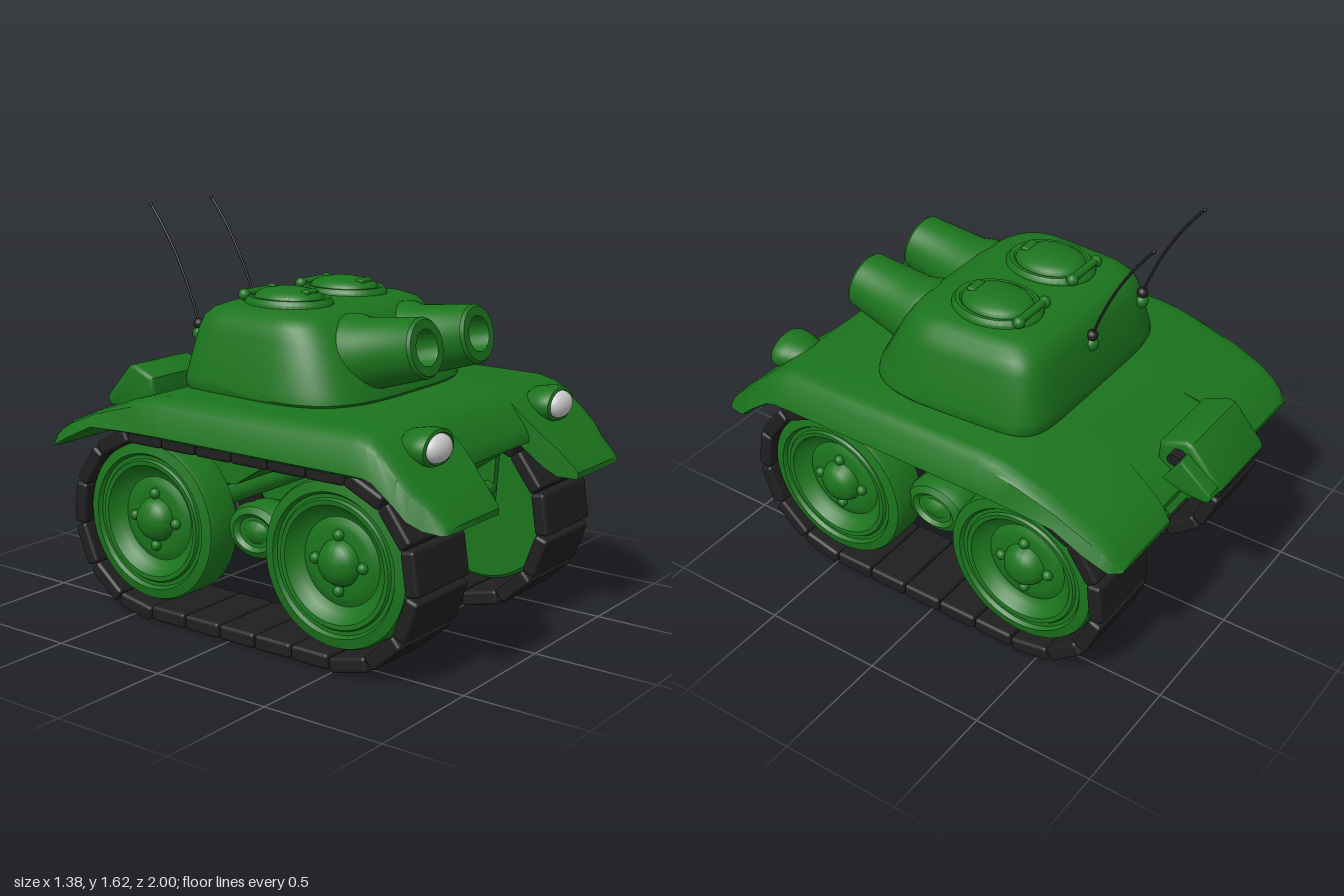
import * as THREE from 'three';
import { toCreasedNormals } from 'three/addons/utils/BufferGeometryUtils.js';
import { RoundedBoxGeometry } from 'three/addons/geometries/RoundedBoxGeometry.js';

const green = new THREE.MeshStandardMaterial({ color: 0x1b741d });
const black = new THREE.MeshStandardMaterial({ color: 0x1f1f1f });
const grey = new THREE.MeshStandardMaterial({ color: 0xcccccc });

function add(parent, name, geo, mat, x = 0, y = 0, z = 0) {
  const m = new THREE.Mesh(geo, mat);
  m.name = name;
  m.position.set(x, y, z);
  parent.add(m);
  return m;
}

// Surface of revolution from [radius, height] pairs, listed bottom to top on the outside
function lathe(pts, seg = 40) {
  return toCreasedNormals(new THREE.LatheGeometry(pts.map(p => new THREE.Vector2(p[0], p[1])), seg), 0.6);
}

// Side profile of [z, y] points extruded from x0 to x1, edges rounded by an inset bevel
function sideExtrude(pts, x0, x1, bevel = 0) {
  const shape = new THREE.Shape(pts.map(p => new THREE.Vector2(-p[0], p[1])));
  const g = new THREE.ExtrudeGeometry(shape, { depth: x1 - x0 - 2 * bevel, bevelEnabled: bevel > 0,
    bevelThickness: bevel, bevelSize: bevel, bevelOffset: -bevel, bevelSegments: 4 });
  g.translate(0, 0, x0 + bevel).rotateY(Math.PI / 2);
  return toCreasedNormals(g, 0.6);
}

// Closed solid through equal-length rings of [x, y, z]; winding is set from the signed volume
function loft(rings, crease = 0.5) {
  const n = rings[0].length, pos = rings.flat(2), idx = [];
  for (let i = 0; i < rings.length - 1; i++) for (let j = 0; j < n; j++) {
    const a = i * n + j, b = i * n + (j + 1) % n;
    idx.push(a, b, b + n, a, b + n, a + n);
  }
  const last = (rings.length - 1) * n;
  for (let j = 1; j < n - 1; j++) idx.push(0, j + 1, j, last, last + j, last + j + 1);
  let vol = 0;
  const v = i => new THREE.Vector3().fromArray(pos, i * 3);
  for (let i = 0; i < idx.length; i += 3) vol += v(idx[i]).dot(v(idx[i + 1]).cross(v(idx[i + 2])));
  if (vol < 0) idx.reverse();
  const g = new THREE.BufferGeometry();
  g.setAttribute('position', new THREE.Float32BufferAttribute(pos, 3));
  g.setIndex(idx);
  return toCreasedNormals(g.toNonIndexed(), crease);
}

function buildHull(root) {
  // Fenders: z, top y, bottom y, inner x, outer x
  const st = [
    [1.0, .635, .612, .29, .62], [.985, .655, .61, .285, .64], [.92, .72, .613, .27, .66], [.87, .765, .645, .25, .69],
    [.82, .81, .69, .235, .692], [.73, .885, .755, .23, .692], [.69, .91, .765, .23, .692], [.63, .925, .765, .23, .692],
    [-.27, .925, .765, .23, .692], [-.36, .915, .765, .23, .692], [-.45, .89, .765, .23, .692], [-.62, .83, .762, .23, .692],
    [-.75, .775, .70, .27, .69], [-.81, .74, .67, .28, .68], [-.85, .705, .652, .29, .67], [-.885, .665, .648, .30, .63]];
  for (const s of [1, -1]) {
    const rings = st.map(([z, t, b, xi, xo]) => {
      const d = (t - b) * .2;
      return [[xi, b], [xo - .03, b], [xo, b + d * .5], [xo - .025, t - d], [xo - .045, t - d * .35], [xo - .085, t], [xi, t]]
        .map(([x, y]) => [s * x, y, z]);
    });
    add(root, s > 0 ? 'leftFender' : 'rightFender', loft(rings, .6), green);
  }
  // Deck between the fenders
  const deck = [[.815, .765, .74, .23], [.8, .795, .74, .23], [.73, .885, .74, .23], [.69, .91, .74, .23], [.63, .925, .74, .23],
    [-.27, .925, .74, .23], [-.36, .915, .74, .23], [-.45, .89, .74, .23], [-.62, .83, .72, .23], [-.75, .765, .69, .27],
    [-.81, .725, .665, .28], [-.84, .695, .65, .29]];
  add(root, 'deck', loft(deck.map(([z, t, b, w]) => [[-w, b, z], [w, b, z], [w, t, z], [-w, t, z]]), .6), green);

  // Belly with a raked nose recess between two side plates
  const rear = [[.2, .61], [-.08, .61], [-.25, .5], [-.55, .5], [-.74, .605], [-.86, .65], [-.82, .7], [-.6, .76]];
  add(root, 'belly', sideExtrude([[.79, .745], [.45, .5], [.35, .48], ...rear], -.225, .225), green);
  for (const x of [-.255, .225]) {
    add(root, 'bellySidePlate', sideExtrude([[.68, .76], [.66, .475], [.35, .475], ...rear], x, x + .03), green);
  }

  // Gearbox under the nose
  const gear = add(root, 'gearbox', lathe([[0, -.24], [.03, -.24], [.03, -.14], [.055, -.135], [.065, -.11], [.065, .11],
    [.055, .135], [.03, .14], [.03, .24], [0, .24]]), green, 0, .53, .64);
  gear.rotation.z = Math.PI / 2;

  // Headlights
  for (const s of [1, -1]) {
    const lamp = new THREE.Group();
    lamp.name = s > 0 ? 'leftHeadlight' : 'rightHeadlight';
    lamp.position.set(s * .433, .857, .83);
    root.add(lamp);
    const shell = add(lamp, 'headlightHousing', lathe([[0, -.14], [.05, -.135], [.085, -.105], [.102, -.05], [.106, -.01],
      [.1, .004], [.085, .008], [.076, 0], [0, -.005]]), green);
    shell.rotation.x = Math.PI / 2;
    shell.scale.z = .68;
    add(lamp, 'headlightGlass', new THREE.SphereGeometry(1, 28, 16), grey).scale.set(.074, .054, .044);
  }

  // Stowage box on the tail, with its latch
  const box = new THREE.Group();
  box.name = 'stowageBox';
  root.add(box);
  add(box, 'boxBody', sideExtrude([[-.73, .79], [-.735, .865], [-.75, .875], [-.84, .91], [-.87, .905], [-.995, .765],
    [-1.0, .745], [-.985, .718], [-.88, .72], [-.8, .745]], -.21, .145, .02), green);
  add(box, 'boxBracket', sideExtrude([[-.86, .87], [-.99, .765], [-.995, .745], [-.98, .722], [-.88, .725], [-.79, .76]],
    .12, .205, .012), green);
  const latch = add(box, 'latch', new THREE.CylinderGeometry(.03, .03, .05, 20), black, .165, .85, -.825);
  latch.rotation.z = Math.PI / 2;
  latch.scale.x = .75;
}

function buildTurret(root) {
  const turret = new THREE.Group();
  turret.name = 'turret';
  turret.position.x = .02;
  root.add(turret);
  // Shell: y, half width, front z, back z
  const levels = [[.91, .49, .41, -.39], [.935, .507, .43, -.4], [.97, .503, .42, -.4], [1.15, .453, .32, -.365],
    [1.2, .435, .285, -.345], [1.23, .405, .255, -.315], [1.247, .36, .21, -.27], [1.253, .2, .1, -.15]];
  const rings = levels.map(([y, w, f, r]) => Array.from({ length: 72 }, (_, i) => {
    const a = i / 72 * Math.PI * 2, c = Math.cos(a), s = Math.sin(a), e = s > 0 ? 2 / 3.6 : 2 / 7;
    const z = Math.pow(Math.abs(s), e) * (s > 0 ? f : r);
    const taper = z < .1 ? 1 - .13 * (.1 - z) : 1;
    return [Math.sign(c) * Math.pow(Math.abs(c), e) * w * taper, y, z];
  }));
  add(turret, 'turretShell', loft(rings, .7), green);

  for (const s of [1, -1]) {
    // Twin gun, raised slightly
    const gun = new THREE.Group();
    gun.name = s > 0 ? 'leftGun' : 'rightGun';
    gun.position.set(s * .18, 1.145, .6);
    gun.rotation.x = Math.PI / 2 - .2;
    turret.add(gun);
    add(gun, 'barrel', lathe([[0, -.42], [.15, -.4], [.162, -.35], [.158, -.3], [.138, -.25], [.118, -.04], [.116, -.012],
      [.106, 0], [.07, 0], [.067, -.01], [.067, -.22], [0, -.22]]), green);
    const floor = add(gun, 'boreFloor', new THREE.CircleGeometry(.066, 28), black, 0, -.215, 0);
    floor.rotation.x = -Math.PI / 2;

    // Oval hatch with hinge and grip
    const hatch = new THREE.Group();
    hatch.name = s > 0 ? 'leftHatch' : 'rightHatch';
    hatch.position.set(s * .18, 1.24, -.045);
    turret.add(hatch);
    add(hatch, 'hatchLid', lathe([[.152, -.02], [.15, .02], [.138, .036], [.125, .036], [.118, .03], [.112, .045],
      [.09, .06], [.04, .071], [0, .073]]), green).scale.z = 1.24;
    add(hatch, 'hatchGrip', new RoundedBoxGeometry(.075, .02, .035, 2, .008), green, 0, .06, .1);
    const hinge = add(hatch, 'hatchHinge', new THREE.CylinderGeometry(.016, .016, .17, 16), green, 0, .04, -.155);
    hinge.rotation.z = Math.PI / 2;
    for (const k of [1, -1]) add(hatch, 'hingeKnob', new THREE.SphereGeometry(.024, 16, 12), green, k * .085, .036, -.155);

    // Whip antenna
    const x = s * .183 - .158;
    const path = new THREE.QuadraticBezierCurve3(new THREE.Vector3(x, 1.15, -.37), new THREE.Vector3(x + .003, 1.41, -.455),
      new THREE.Vector3(x + .008, 1.605, -.62));
    add(turret, 'antenna', new THREE.TubeGeometry(path, 20, .0055, 8), black);
    add(turret, 'antennaTip', new THREE.SphereGeometry(.008, 10, 8), black, x + .008, 1.605, -.62);
    add(turret, 'antennaBase', new THREE.SphereGeometry(.023, 16, 12), black, x, 1.153, -.37);
    add(turret, 'antennaMount', new THREE.SphereGeometry(.03, 16, 12), green, x, 1.115, -.366);
  }
}

function buildRunningGear(root) {
  const H = .45, R = .354, count = 23, arc = Math.PI * R, total = 4 * H + 2 * arc;
  // Point and direction along the stadium-shaped track, starting at the bottom centre
  const trackAt = d => {
    d = ((d % total) + total) % total;
    if (d < H) return [d, -R, 0];
    if (d < H + arc) { const a = (d - H) / R; return [H + R * Math.sin(a), -R * Math.cos(a), a]; }
    if (d < 3 * H + arc) return [H - (d - H - arc), R, Math.PI];
    if (d < 3 * H + 2 * arc) { const a = (d - 3 * H - arc) / R; return [-H - R * Math.sin(a), R * Math.cos(a), Math.PI + a]; }
    return [d - total, -R, 0];
  };
  const pad = new RoundedBoxGeometry(.34, .06, .17, 2, .014);
  // Wheel: flat inner face, dished outer face
  const wheel = lathe([[0, -.02], [.31, -.02], [.322, -.01], [.322, .12], [.315, .135], [.275, .145], [.265, .13], [.25, .13],
    [.243, .14], [.225, .138], [.2, .1], [.17, .085], [.15, .095], [.135, .1], [.09, .1], [.085, .115], [.07, .14],
    [.04, .155], [0, .16]], 56);
  const idler = lathe([[0, -.12], [.06, -.118], [.095, -.1], [.112, -.05], [.113, .02], [.1, .05], [.075, .065], [.06, .05],
    [.045, .05], [.025, .065], [0, .068]]);

  for (const s of [1, -1]) {
    const side = new THREE.Group();
    side.name = s > 0 ? 'leftTrackUnit' : 'rightTrackUnit';
    side.position.set(s * .45, .386, .04);
    side.rotation.y = s > 0 ? 0 : Math.PI;
    root.add(side);
    for (let i = 0; i < count; i++) {
      const [z, y, a] = trackAt(s * .01 + i * total / count);
      add(side, 'trackPad', pad, black, 0, y, z).rotation.x = -a;
    }
    for (const k of [1, -1]) {
      const w = new THREE.Group();
      w.name = 'roadWheel';
      w.position.set(0, .012, k * H);
      side.add(w);
      add(w, 'wheelDisc', wheel, green).rotation.z = -Math.PI / 2;
      for (let b = 0; b < 4; b++) {
        const t = b * Math.PI / 2;
        add(w, 'wheelBolt', new THREE.SphereGeometry(.022, 14, 10), green, .105, .107 * Math.sin(t), .107 * Math.cos(t));
      }
    }
    // Oval idler between the wheels
    const hub = add(side, 'idler', idler, green, 0, .032, s * .015);
    hub.rotation.z = -Math.PI / 2;
    hub.scale.z = 1.3;
  }
  // Cross axles
  for (const k of [1, -1]) {
    const axle = add(root, 'axle', new THREE.CylinderGeometry(.04, .04, .9, 24), green, 0, .397, .04 + k * H);
    axle.rotation.z = Math.PI / 2;
  }
}

export function createModel() {
  const root = new THREE.Group();
  root.name = 'toyTank';
  buildHull(root);
  buildTurret(root);
  buildRunningGear(root);
  return root;
}
